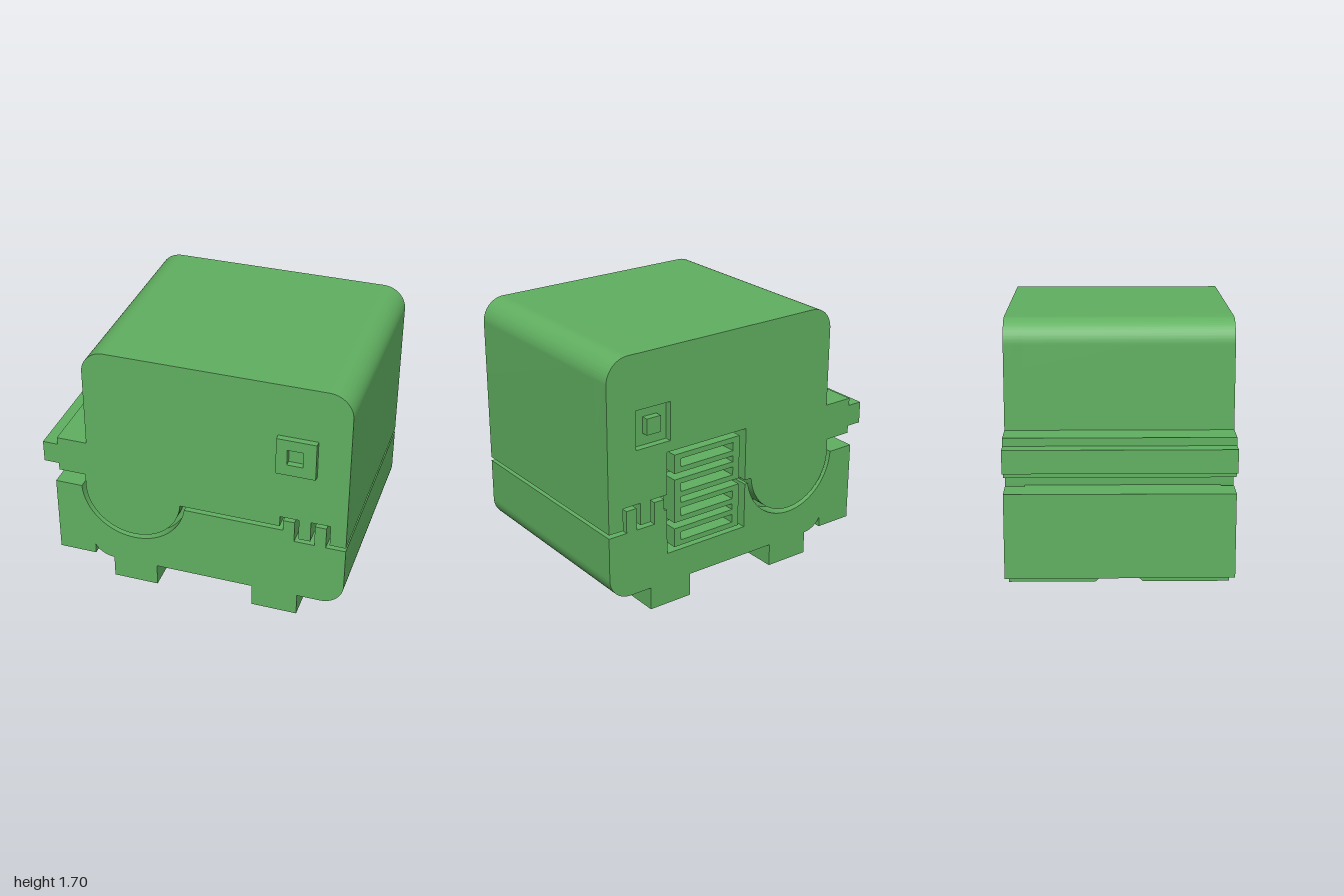
import * as THREE from 'three';
import { toCreasedNormals } from 'three/addons/utils/BufferGeometryUtils.js';

const BACK = -0.72, FRONT = 0.68, FLOOR = -0.6;   // overall depth and vent floor
const PIVOT = [-0.4, 0.7];

export function createModel() {
  const model = new THREE.Group();
  const green = new THREE.MeshStandardMaterial({ color: 0x61b061 });
  green.name = 'green';

  const add = (parent, name, geometry) => {
    const mesh = new THREE.Mesh(geometry, green);
    mesh.name = name;
    parent.add(mesh);
    return mesh;
  };
  // Slab of a front-facing shape between two depths
  const slab = (parent, name, shape, z0, z1) => {
    const g = new THREE.ExtrudeGeometry(shape, { depth: z1 - z0, bevelEnabled: false, curveSegments: 28 });
    g.translate(0, 0, z0);
    return add(parent, name, toCreasedNormals(g, 0.5));
  };
  const box = (parent, name, x0, x1, y0, y1, z0, z1) => {
    const g = new THREE.BoxGeometry(x1 - x0, y1 - y0, z1 - z0);
    g.translate((x0 + x1) / 2, (y0 + y1) / 2, (z0 + z1) / 2);
    return add(parent, name, g);
  };
  const lines = (shape, points) => points.forEach(([x, y]) => shape.lineTo(x, y));
  const rect = (x0, x1, y0, y1, Type = THREE.Shape) =>
    new Type([[x0, y0], [x1, y0], [x1, y1], [x0, y1]].map(p => new THREE.Vector2(...p)));

  // Upper half: rounded top, hinge disc, toothed lower edge, side latch
  const upperShape = vent => {
    const s = new THREE.Shape();
    s.moveTo(-0.72, 0.7);
    s.absarc(...PIVOT, 0.32, Math.PI, 2 * Math.PI, false);
    s.lineTo(-0.08, 0.677);
    lines(s, vent ? [[-0.03, 0.677], [-0.03, 1.03], [0.575, 1.03]] : [[0.575, 0.677]]);
    lines(s, [[0.575, 0.75], [0.697, 0.75], [0.697, 0.605], [0.773, 0.605],
      [0.773, 0.75], [0.897, 0.75], [0.897, 0.605], [1, 0.605], [1, 1.55]]);
    s.absarc(0.85, 1.55, 0.15, 0, Math.PI / 2, false);
    s.lineTo(-0.55, 1.7);
    s.absarc(-0.55, 1.55, 0.15, Math.PI / 2, Math.PI, false);
    lines(s, [[-0.7, 1.025], [-0.9, 1.025], [-0.9, 0.975], [-1, 0.975],
      [-1, 0.83], [-0.9, 0.83], [-0.9, 0.78], [-0.72, 0.78]]);
    return s;
  };
  const upper = new THREE.Group();
  upper.name = 'upperBody';
  model.add(upper);
  slab(upper, 'upperMain', upperShape(false), FLOOR, FRONT);
  const upperBack = upperShape(true);
  upperBack.holes.push(rect(0.55, 0.8, 1.1, 1.35, THREE.Path));
  slab(upper, 'upperBack', upperBack, BACK, FLOOR);

  // Square socket frame in front, matching recess with a peg behind
  const frame = rect(0.55, 0.8, 1.1, 1.35);
  frame.holes.push(rect(0.62, 0.72, 1.175, 1.28, THREE.Path));
  slab(upper, 'frontSocket', frame, FRONT, 0.72);
  box(upper, 'backRecessFloor', 0.55, 0.8, 1.1, 1.35, -0.675, FLOOR);
  box(upper, 'backPeg', 0.62, 0.72, 1.175, 1.28, BACK, -0.67);

  // Lower half: hinge socket, toothed upper edge, side block
  const lowerShape = (r, vent, pocket) => {
    const s = new THREE.Shape();
    const sideY = 0.685, y = 0.65;
    const left = Math.PI + Math.asin((PIVOT[1] - sideY) / r);
    const right = 2 * Math.PI - Math.asin((PIVOT[1] - y) / r);
    s.moveTo(-0.93, sideY);
    s.lineTo(-0.93, 0.155);
    lines(s, [[-0.68, 0.155], [-0.68, 0.225]]);
    s.absarc(-0.55, 0.3, 0.15, Math.PI + Math.PI / 6, 1.5 * Math.PI, false);
    if (pocket) lines(s, [[-0.12, 0.15], [-0.12, 0.2], [0.28, 0.2], [0.28, 0.15]]);
    s.lineTo(0.85, 0.15);
    s.absarc(0.85, 0.3, 0.15, -Math.PI / 2, 0, false);
    lines(s, [[1, 0.58], [0.873, 0.58], [0.873, 0.725], [0.8, 0.725], [0.8, 0.58],
      [0.67, 0.58], [0.67, 0.725], [0.597, 0.725], [0.597, y]]);
    if (vent) lines(s, [[0.575, y], [0.575, 0.35], [-0.03, 0.35], [-0.03, y]]);
    s.absarc(...PIVOT, r, right, left, true);
    return s;
  };
  const lower = new THREE.Group();
  lower.name = 'lowerBody';
  model.add(lower);
  slab(lower, 'lowerBack', lowerShape(0.35, true, false), BACK, FLOOR);
  slab(lower, 'lowerRearMiddle', lowerShape(0.32, false, false), FLOOR, -0.48);
  slab(lower, 'lowerPocketSection', lowerShape(0.32, false, true), -0.48, 0.36);
  slab(lower, 'lowerFrontMiddle', lowerShape(0.32, false, false), 0.36, 0.6);
  slab(lower, 'lowerFront', lowerShape(0.35, false, false), 0.6, FRONT);

  // Feet with a V notch halfway along
  [[-0.55, -0.25], [0.4, 0.7]].forEach(([x0, x1]) => {
    const side = new THREE.Shape();
    side.moveTo(-FRONT, 0);
    lines(side, [[-0.13, 0], [0.02, 0.15], [0.17, 0], [-BACK, 0], [-BACK, 0.15], [-FRONT, 0.15]]);
    const g = new THREE.ExtrudeGeometry(side, { depth: x1 - x0, bevelEnabled: false });
    g.rotateY(Math.PI / 2);
    g.translate(x0, 0, 0);
    add(lower, 'foot', g);
  });

  // Folded grille in the back recess: four slotted bars joined at alternate ends
  const grille = new THREE.Group();
  grille.name = 'grille';
  model.add(grille);
  for (let i = 0; i < 4; i++) {
    const y = 0.377 + i * 0.165;
    const bar = rect(0.02, 0.52, y, y + 0.125);
    bar.holes.push(rect(0.07, 0.47, y + 0.035, y + 0.09, THREE.Path));
    slab(grille, 'grilleBar', bar, BACK, FLOOR);
    if (i < 3) {
      const x = i % 2 ? 0.47 : 0.02;
      box(grille, 'grilleLink', x, x + 0.05, y + 0.125, y + 0.165, BACK, FLOOR);
    }
  }
  return model;
}
